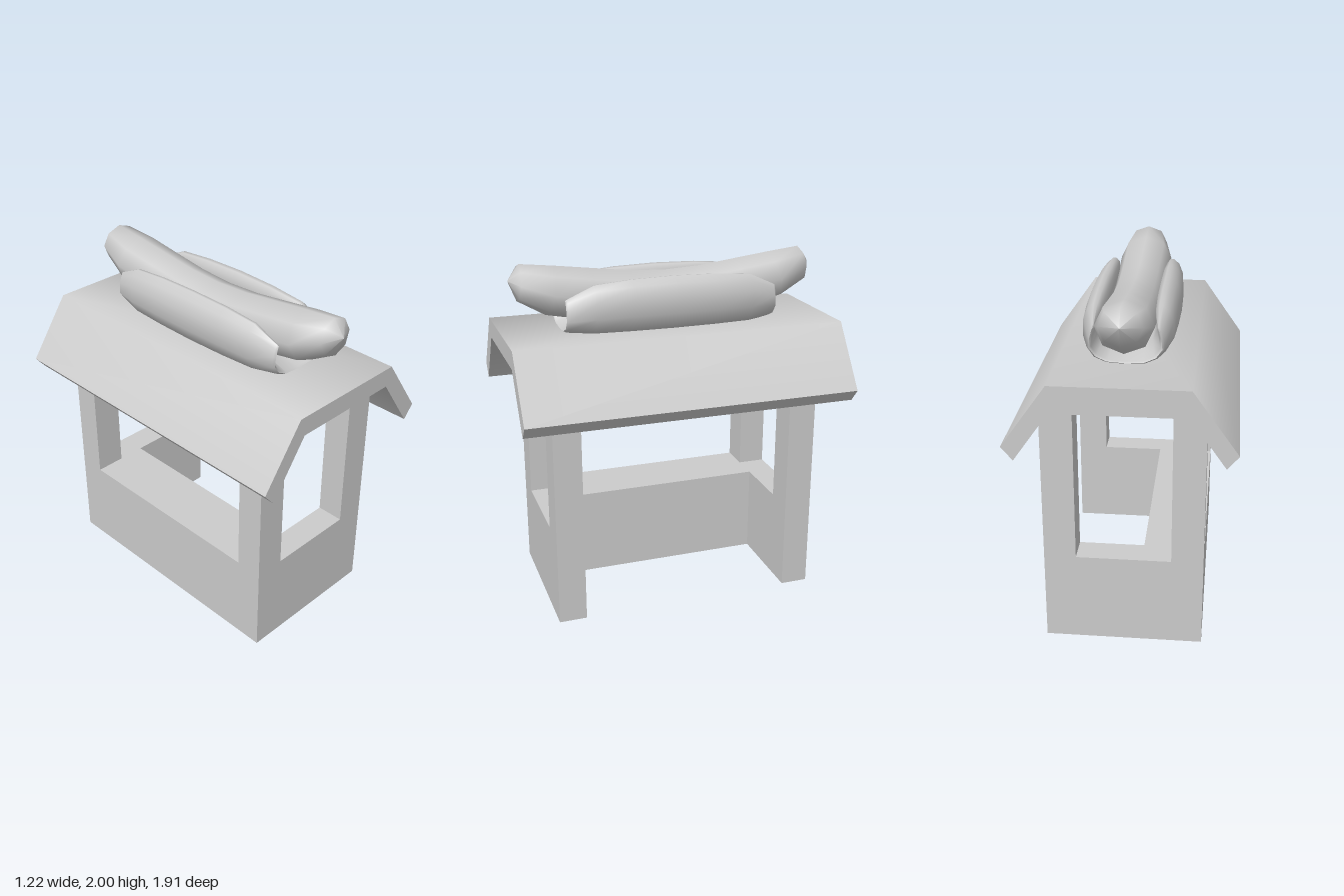
import * as THREE from 'three';
import { toCreasedNormals } from 'three/addons/utils/BufferGeometryUtils.js';

const grey = new THREE.MeshStandardMaterial({ color: 0xcccccc });
const shell = new THREE.MeshStandardMaterial({ color: 0xcccccc, side: THREE.DoubleSide });

function part(name, geometry, material = grey) {
  const mesh = new THREE.Mesh(geometry, material);
  mesh.name = name;
  return mesh;
}

function polygon(points, hole) {
  const toVec = ([x, y]) => new THREE.Vector2(x, y);
  const shape = new THREE.Shape(points.map(toVec));
  if (hole) shape.holes.push(new THREE.Path(hole.map(toVec)));
  return shape;
}

// Upright panels, each from [x, z, top] to [x, z, top] above a level bottom
function panels(list) {
  const position = [], index = [];
  list.forEach(([p, q, bottom], i) => {
    position.push(p[0], bottom, p[1], q[0], bottom, q[1], q[0], q[2], q[1], p[0], p[2], p[1]);
    index.push(...[0, 1, 2, 0, 2, 3].map((k) => k + i * 4));
  });
  const g = new THREE.BufferGeometry();
  g.setAttribute('position', new THREE.Float32BufferAttribute(position, 3));
  g.setIndex(index);
  g.computeVertexNormals();
  return g;
}

// Smooth skin over closed rings, ordered from -z to +z, each counterclockwise seen from +z
function loft(rings) {
  const n = rings[0].length;
  const index = [];
  for (let i = 0; i < rings.length - 1; i++) {
    for (let j = 0; j < n; j++) {
      const a = i * n + j, b = i * n + (j + 1) % n;
      index.push(a, b, a + n, b, b + n, a + n);
    }
  }
  const g = new THREE.BufferGeometry();
  g.setAttribute('position', new THREE.Float32BufferAttribute(rings.flat(2), 3));
  g.setIndex(index);
  g.computeVertexNormals();
  return g;
}

// Stations given from the centre to the front end, mirrored to the back
const mirrorStations = (half) => [
  ...half.slice(1).reverse().map((s) => ({ ...s, z: -s.z, tilt: -(s.tilt || 0) })),
  ...half,
];

const mirrorX = (half) => [...half.slice(1).reverse().map(([x, y]) => [-x, y]), ...half];

function sausage() {
  const stations = mirrorStations([
    { z: 0, y: 1.767, r: 0.147, h: 0.147, tilt: 0 },
    { z: 0.22, y: 1.777, r: 0.149, h: 0.148, tilt: 0.06 },
    { z: 0.46, y: 1.808, r: 0.153, h: 0.147, tilt: 0.13 },
    { z: 0.67, y: 1.842, r: 0.156, h: 0.14, tilt: 0.2 },
    { z: 0.845, y: 1.898, r: 0.115, h: 0.103, tilt: 0.1 },
    { z: 0.9, y: 1.91, r: 0.002, h: 0.002, tilt: 0 },
  ]);
  return loft(stations.map(({ z, y, r, h, tilt }) =>
    Array.from({ length: 8 }, (_, k) => {
      const a = (k / 8) * Math.PI * 2;
      const up = Math.sin(a) * h;
      return [Math.cos(a) * r, y + up * Math.cos(tilt), z - up * Math.sin(tilt)];
    })));
}

// U-shaped bun that thins out to its middle line at both ends
function bun() {
  const outer = mirrorX([[0, 1.58], [0.13, 1.59], [0.21, 1.63], [0.26, 1.72], [0.257, 1.82], [0.23, 1.885], [0.19, 1.918]]);
  const inner = mirrorX([[0, 1.67], [0.08, 1.68], [0.125, 1.72], [0.145, 1.77], [0.137, 1.84], [0.14, 1.89], [0.165, 1.914]]);
  const base = 1.62;
  const stations = mirrorStations([
    { z: 0, thick: 1, high: 1, wide: 1 },
    { z: 0.25, thick: 0.96, high: 0.98, wide: 0.99 },
    { z: 0.46, thick: 0.82, high: 0.92, wide: 0.98 },
    { z: 0.61, thick: 0.2, high: 0.69, wide: 0.95 },
    { z: 0.62, thick: 0, high: 0.67, wide: 0.95 },
  ]);
  return loft(stations.map(({ z, thick, high, wide }) => {
    const side = (from, other) => from.map(([x, y], i) => {
      const mx = (x + other[i][0]) / 2, my = (y + other[i][1]) / 2;
      const py = my + (y - my) * thick;
      return [(mx + (x - mx) * thick) * wide, py > base ? base + (py - base) * high : py, z];
    });
    return [...side(outer, inner), ...side(inner, outer).reverse()];
  }));
}

// Hollow corner post: outer side, inner face and window jamb
function post(sx, sz) {
  const at = (x, z, top) => [x * sx, z * sz, top];
  const list = [
    [at(0.443, 0.78, 1.355), at(0.443, 0.62, 1.3), 0],
    [at(0.443, 0.62, 1.3), at(0.265, 0.62, 1.39), sx > 0 ? 0 : 0.525],
    [at(0.265, 0.62, 1.39), at(0.265, 0.78, 1.39), 0.525],
  ];
  return panels(sx * sz > 0 ? list : list.map(([p, q, bottom]) => [q, p, bottom]));
}

export function createModel() {
  const model = new THREE.Group();
  model.name = 'foodStand';

  // Front and back wall faces with a window, their tops following the roof
  const wall = polygon(
    [[-0.443, 0], [0.443, 0], [0.443, 1.352], [0.33, 1.51], [-0.33, 1.51], [-0.443, 1.352]],
    [[-0.265, 0.525], [-0.265, 1.39], [0.265, 1.39], [0.265, 0.525]]);
  for (const s of [1, -1]) {
    const face = part(s > 0 ? 'frontWall' : 'backWall', new THREE.ShapeGeometry(wall), shell);
    face.position.z = 0.78 * s;
    if (s < 0) face.rotation.y = Math.PI;
    model.add(face);
    for (const sx of [1, -1]) model.add(part('cornerPost', post(sx, s), shell));
  }

  // Hollow counter, open below: inner C-shaped wall and outer side wall
  model.add(part('counterWalls', panels([
    [[0.265, 0.62, 0.525], [-0.103, 0.62, 0.525], 0],
    [[-0.103, 0.62, 0.525], [-0.103, -0.62, 0.525], 0],
    [[-0.103, -0.62, 0.525], [0.265, -0.62, 0.525], 0],
    [[-0.443, -0.62, 0.525], [-0.443, 0.62, 0.525], 0],
  ]), shell));

  // Counter top running into both window sills
  const top = new THREE.ShapeGeometry(polygon([
    [-0.265, 0.78], [0.265, 0.78], [0.265, 0.62], [-0.103, 0.62], [-0.103, -0.62], [0.265, -0.62],
    [0.265, -0.78], [-0.265, -0.78], [-0.265, -0.62], [-0.443, -0.62], [-0.443, 0.62], [-0.265, 0.62],
  ]));
  top.rotateX(-Math.PI / 2).translate(0, 0.525, 0);
  model.add(part('counterTop', top, shell));

  // Folded roof slab, softly shaded across the folds
  const roof = new THREE.ExtrudeGeometry(polygon([
    [0.365, 1.62], [-0.365, 1.62], [-0.61, 1.275], [-0.547, 1.2],
    [-0.33, 1.51], [0.33, 1.51], [0.547, 1.2], [0.61, 1.275],
  ]), { depth: 1.914, bevelEnabled: false });
  roof.translate(0, 0, -0.957);
  model.add(part('roof', toCreasedNormals(roof, 1.0)));

  // Rooftop sign
  const sign = new THREE.Group();
  sign.name = 'rooftopSign';
  sign.add(part('bun', bun()), part('sausage', sausage()));
  model.add(sign);

  return model;
}
